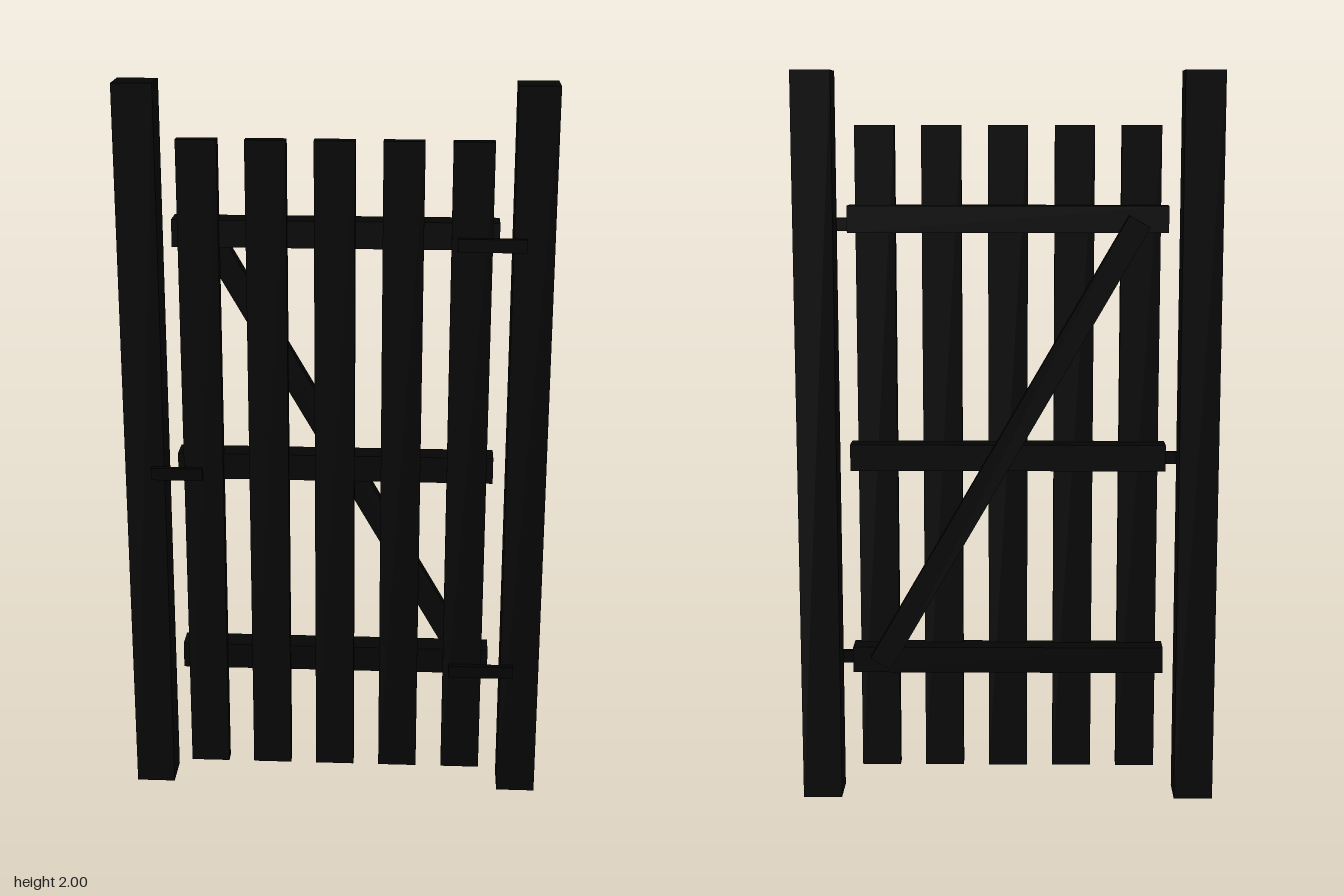
import * as THREE from 'three';

export function createModel() {
  const gate = new THREE.Group();
  gate.name = 'picketGate';

  const wood = new THREE.MeshStandardMaterial({ color: 0x050505 });
  wood.name = 'black timber';
  const iron = new THREE.MeshStandardMaterial({ color: 0x030303 });
  iron.name = 'black iron';

  // Adds a box given its extents along each axis
  function box(name, material, [x0, x1], [y0, y1], [z0, z1]) {
    const mesh = new THREE.Mesh(new THREE.BoxGeometry(x1 - x0, y1 - y0, z1 - z0), material);
    mesh.position.set((x0 + x1) / 2, (y0 + y1) / 2, (z0 + z1) / 2);
    mesh.name = name;
    gate.add(mesh);
    return mesh;
  }

  // Square posts on both sides
  box('leftPost', wood, [0.465, 0.572], [0, 2], [-0.053, 0.053]);
  box('rightPost', wood, [-0.572, -0.465], [0, 2], [-0.053, 0.053]);

  // Five upright pickets
  for (let i = -2; i <= 2; i++) {
    const x = i * 0.1787;
    box('picket' + (i + 3), wood, [x - 0.0535, x + 0.0535], [0.072, 1.858], [0.018, 0.053]);
  }

  // Three horizontal rails behind the pickets
  [0.395, 0.965, 1.61].forEach((y, i) => {
    box('rail' + (i + 1), wood, [-0.429, 0.429], [y - 0.036, y + 0.036], [-0.036, 0.036]);
  });

  // Diagonal brace across the back of the rails
  const brace = box('diagonalBrace', wood, [-0.7, 0.7], [0.968, 1.032], [-0.071, -0.034]);
  brace.rotation.z = -Math.PI / 3;

  // Two hinge straps on one side, a latch bar on the other
  box('upperHinge', iron, [0.32, 0.5], [1.575, 1.61], [0.053, 0.069]);
  box('lowerHinge', iron, [0.32, 0.5], [0.36, 0.395], [0.053, 0.069]);
  box('latch', iron, [-0.5, -0.36], [0.933, 0.967], [0.053, 0.069]);

  return gate;
}
